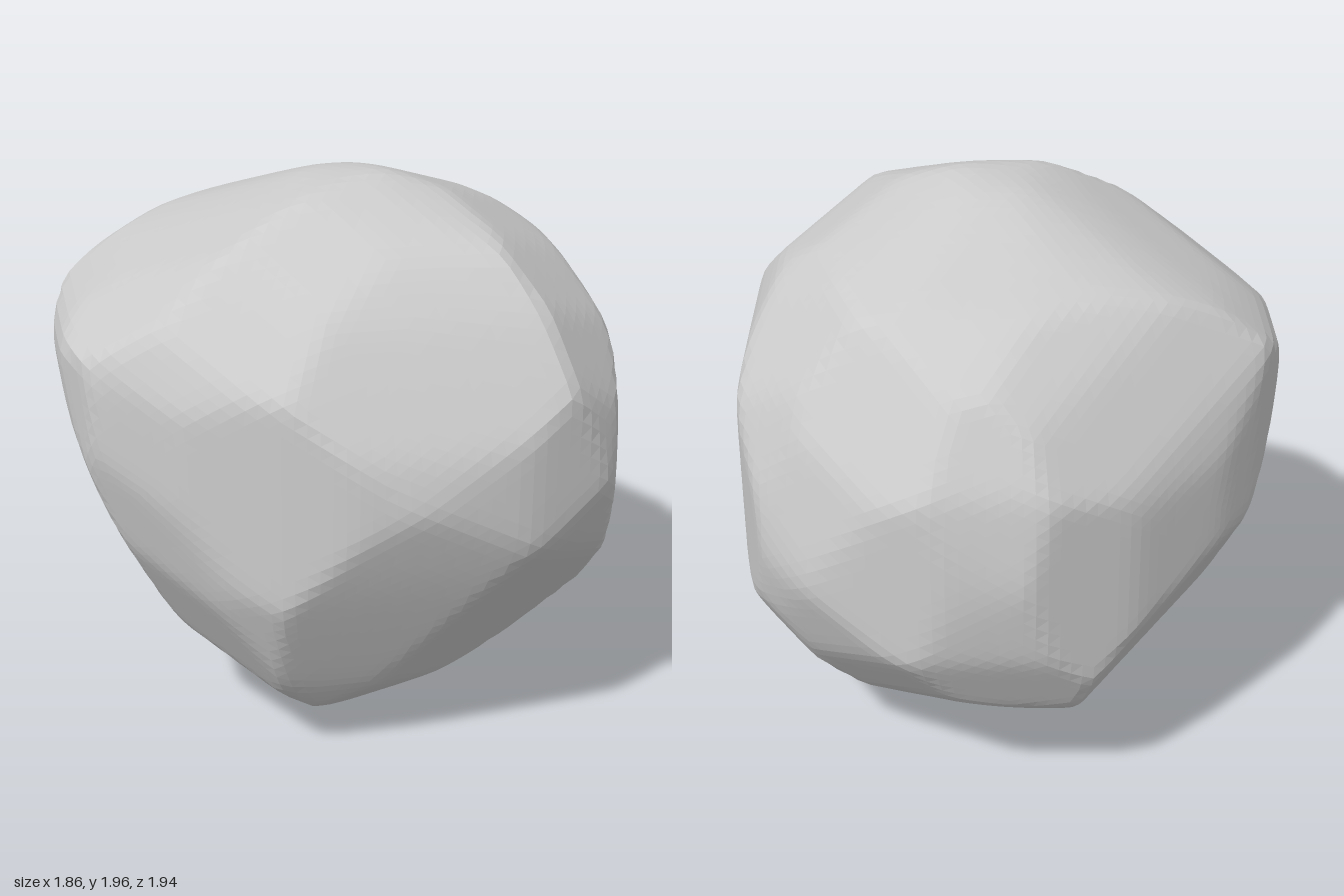
import * as THREE from 'three';

// Flat cutting planes around one outline of the boulder. The outline is a rounded loop through
// a few (across, up) corners, turned by yaw and pitch; each plane is kept as its outward
// normal divided by its distance from the centre.
function cutsAround(yaw, pitch, corners) {
  const turn = new THREE.Euler(
    THREE.MathUtils.degToRad(-pitch), THREE.MathUtils.degToRad(yaw), 0, 'YXZ');
  const loop = new THREE.CatmullRomCurve3(
    corners.map(([x, y]) => new THREE.Vector3(x, y, 0)), true);
  const points = loop.getPoints(corners.length * 2);
  return points.slice(1).map((q, i) => {
    const p = points[i];
    const normal = new THREE.Vector3(q.y - p.y, p.x - q.x, 0).normalize();
    if (normal.dot(p) < 0) normal.negate();
    const distance = Math.max(...points.map((k) => k.dot(normal)));
    return normal.divideScalar(distance).applyEuler(turn);
  });
}

function boulderCuts() {
  const front = cutsAround(0, 0, [
    [0.15, 1], [0.64, 0.82], [0.87, 0.52], [0.93, 0.1], [0.84, -0.5], [0.28, -0.92],
    [-0.05, -1], [-0.38, -0.83], [-0.82, -0.07], [-0.94, 0.4], [-0.88, 0.54], [-0.34, 0.88]]);
  const side = cutsAround(-90, 0, [
    [0.2, 1], [0.6, 0.81], [0.85, 0.45], [0.98, 0.1], [0.82, -0.28], [0.66, -0.67],
    [0.43, -0.93], [0.15, -1], [-0.25, -0.9], [-0.8, -0.55], [-0.98, 0.02], [-0.8, 0.61],
    [-0.3, 0.87]]);
  const plan = cutsAround(0, 90, [
    [-0.05, 0.98], [0.47, 0.87], [0.81, 0.65], [0.93, 0], [0.87, -0.6], [0.79, -0.79],
    [0.12, -0.98], [-0.29, -0.85], [-0.86, -0.42], [-0.94, 0.1], [-0.71, 0.53]]);
  const frontCorner = cutsAround(45, 20, [
    [0.07, 0.92], [0.68, 0.73], [1.03, -0.05], [0.83, -0.56], [0.18, -0.93], [-0.25, -0.97],
    [-0.69, -0.68], [-0.92, 0.13], [-0.88, 0.56], [-0.28, 0.88]]);
  const backCorner = cutsAround(-135, 20, [
    [-0.08, 1.03], [0.33, 0.95], [0.83, 0.53], [0.92, 0.1], [0.62, -0.59], [-0.05, -0.89],
    [-0.7, -0.64], [-1.03, -0.1], [-0.87, 0.5], [-0.37, 0.96]]);
  const underside = cutsAround(135, -20, [
    [0.05, 0.94], [0.4, 0.89], [0.83, 0.37], [0.88, -0.1], [0.43, -0.71], [-0.13, -1.03],
    [-0.82, -0.41], [-1.12, 0.07], [-0.91, 0.59], [-0.42, 0.91]]);
  return [...front, ...side, ...plan, ...frontCorner, ...backCorner, ...underside];
}

export function createModel() {
  const group = new THREE.Group();
  group.name = 'rock';

  // Cut a ball back to the nearest plane in every direction, wearing the edges slightly
  const cuts = boulderCuts();
  const wear = 150;
  const geometry = new THREE.IcosahedronGeometry(1, 24);
  const position = geometry.attributes.position;
  const v = new THREE.Vector3();
  for (let i = 0; i < position.count; i++) {
    v.fromBufferAttribute(position, i).normalize();
    const sum = cuts.reduce((total, cut) => total + Math.max(0, cut.dot(v)) ** wear, 0);
    v.multiplyScalar(sum ** (-1 / wear));
    position.setXYZ(i, v.x, v.y, v.z);
  }
  geometry.computeVertexNormals();

  // Centre it and rest its lowest point on the ground
  geometry.center();
  geometry.computeBoundingBox();
  geometry.translate(0, -geometry.boundingBox.min.y, 0);

  const boulder = new THREE.Mesh(
    geometry,
    new THREE.MeshStandardMaterial({ color: 0xcccccc, flatShading: true })
  );
  boulder.name = 'boulder';
  group.add(boulder);
  return group;
}
